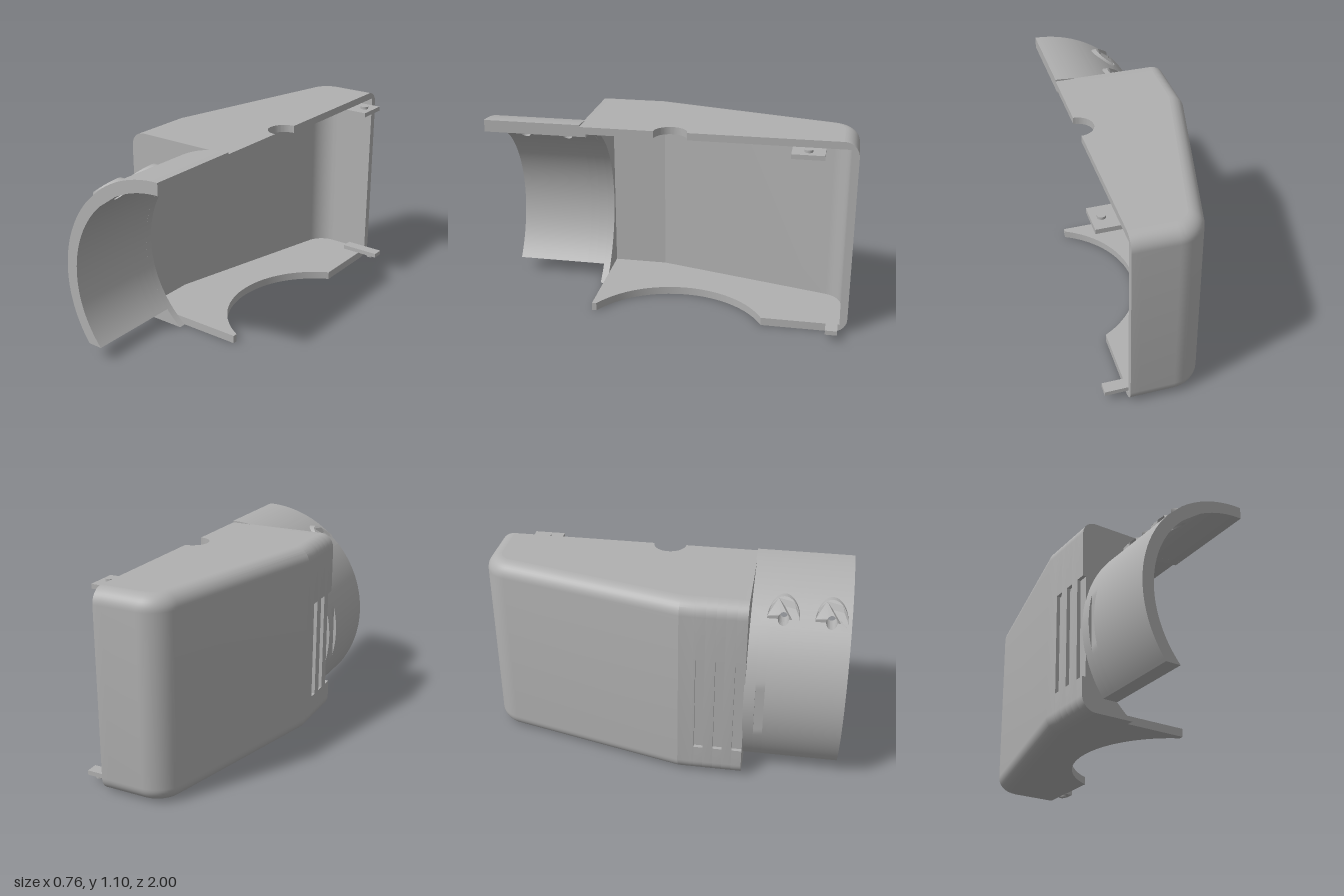
import * as THREE from 'three';
import { toCreasedNormals } from 'three/addons/utils/BufferGeometryUtils.js';

const V = (x, y) => new THREE.Vector2(x, y);
const CX = 0.257, CY = 0.46, RO = 0.64, RI = 0.575;  // collar axis and radii
const H = 1.09, FILLET = 0.08, WALL = 0.04, FLOOR = 0.045, CEIL = 1.05;
const SIDE = -0.385, BACK = -1, FRONT = 0.475;

// Circle arc around the collar axis between two heights
function arc(R, y0, y1, n = 48) {
  const ang = y => Math.asin(Math.min(1, (y - CY) / R));
  const a0 = ang(y0), a1 = ang(y1);
  return Array.from({ length: n + 1 }, (_, i) => {
    const a = a0 + (a1 - a0) * i / n;
    return V(CX - R * Math.cos(a), CY + R * Math.sin(a));
  });
}

// Outer edge of the side wall as (inset, height), optionally with a vent groove
function outerEdge(groove) {
  const pts = [], n = 10;
  for (let i = 0; i <= n; i++) {
    const t = i / n * Math.PI / 2;
    pts.push(V(FILLET * (1 - Math.sin(t)), FILLET * (1 - Math.cos(t))));
  }
  const top = pts.map(p => V(p.x, H - p.y)).reverse();
  if (groove) pts.push(V(0, 0.18), V(0.02, 0.18), V(0.02, 0.75), V(0, 0.75));
  return [...pts, ...top];
}

// Closed C-shaped wall section
const section = groove => [...outerEdge(groove),
  V(FILLET, CEIL), V(WALL, CEIL), V(WALL, FLOOR), V(FILLET, FLOOR)];

// Plan path of the wall from back to front: points with inward offset directions
function planPath() {
  const path = [{ p: V(0.21, BACK), n: V(0, 1) }];
  const R = 0.165, end = Math.atan2(0.971, 0.239);
  for (let i = 0; i <= 14; i++) {
    const a = end * i / 14, n = V(Math.sin(a), Math.cos(a));
    path.push({ p: V(0.02 - R * n.x, BACK + R - R * n.y), n });
  }
  path.push({ p: V(SIDE, 0.12), n: V(1, 0.121) }, { p: V(SIDE, 0.2), n: V(1, 0) });
  return path;
}

// Sweep the wall section along the plan path
function sweepWall() {
  const path = planPath(), sec = section(false), m = sec.length;
  const pos = [], idx = [];
  path.forEach(({ p, n }) => sec.forEach(q => pos.push(p.x + n.x * q.x, q.y, p.y + n.y * q.x)));
  for (let i = 0; i < path.length - 1; i++) {
    for (let j = 0; j < m; j++) {
      const a = i * m + j, b = i * m + (j + 1) % m, c = a + m, d = b + m;
      idx.push(a, c, b, b, c, d);
    }
  }
  const g = new THREE.BufferGeometry();
  g.setAttribute('position', new THREE.Float32BufferAttribute(pos, 3));
  g.setIndex(idx);
  return g;
}

const extrude = (shape, depth) => new THREE.ExtrudeGeometry(
  Array.isArray(shape) ? new THREE.Shape(shape) : shape, { depth, bevelEnabled: false });

// Flat plate whose open edge has a round cutout
function plate(front, cx, cz, R, y, thickness) {
  const pts = planPath().map(({ p, n }) => V(p.x + n.x * FILLET, -(p.y + n.y * FILLET)));
  pts.push(V(SIDE + FILLET, -front), V(CX, -front));
  const t0 = Math.acos((cx - CX) / R);
  for (let i = 0; i <= 32; i++) {
    const t = t0 * (1 - i / 16);
    pts.push(V(cx - R * Math.cos(t), -(cz + R * Math.sin(t))));
  }
  pts.push(V(CX, -(BACK + FILLET)));
  return extrude(pts, thickness).rotateX(-Math.PI / 2).translate(0, y, 0);
}

// Extrude a (z, y) shape sideways, then set x of the inner and outer faces by height
function sideways(shape, innerX, outerX) {
  const g = extrude(shape, 1).rotateY(-Math.PI / 2), p = g.attributes.position;
  for (let i = 0; i < p.count; i++) {
    const y = p.getY(i);
    p.setX(i, p.getX(i) < -0.5 ? outerX(y) : innerX(y));
  }
  return g;
}

const circleX = R => y => CX - Math.sqrt(R * R - (y - CY) ** 2);
const screwHole = z => new THREE.Path().absarc(z, 0.927, 0.03, 0, Math.PI * 2, true);

export function createModel() {
  const model = new THREE.Group();
  const grey = new THREE.MeshStandardMaterial({ color: 0xb0b0b0 });
  grey.name = 'grey plastic';
  const add = (name, geo) => {
    const mesh = new THREE.Mesh(toCreasedNormals(geo, 0.2), grey);
    mesh.name = name;
    model.add(mesh);
  };

  // Housing shell
  add('housingWall', sweepWall());
  add('backWallEnd', extrude(section(false), CX - 0.21).rotateY(-Math.PI / 2).translate(CX, 0, BACK));
  add('topPlate', plate(0.45, CX, -0.02, 0.09, CEIL, H - CEIL));
  add('bottomPlate', plate(0.435, 0.498, -0.06, 0.528, 0, FLOOR));

  // Straight side wall, alternating plain strips and vent grooves
  const cuts = [0.2, 0.21, 0.26, 0.315, 0.365, 0.42, FRONT];
  for (let i = 0; i < cuts.length - 1; i++) {
    const groove = i % 2 === 1;
    add(groove ? 'ventGroove' : 'sideWallStrip',
      extrude(section(groove), cuts[i + 1] - cuts[i]).translate(SIDE, 0, cuts[i]));
  }

  // Front wall around the round opening
  const edge = outerEdge(true).map(p => V(SIDE + p.x, p.y)).reverse();
  add('frontWall', extrude([...arc(RI, 0, 2), V(CX, H), ...edge], 0.04).translate(0, 0, 0.435));

  // Collar: lower and upper arcs with a panel for the screw holes between them
  const ring = (y0, y1, minX = -1) => [
    ...arc(RO, y0, y1).map(p => V(Math.max(p.x, minX), p.y)), ...arc(RI, y0, y1).reverse()];
  const y0 = 0.89, y1 = 0.965;
  [[0.47, 0.53, -1], [0.53, 0.58, -0.365], [0.58, 1, -1]].forEach(([a, b, minX]) =>
    add('collarLower', extrude(ring(0.085, y0, minX), b - a).translate(0, 0, a)));
  add('collarUpper', extrude(ring(y1, 2), 0.53).translate(0, 0, 0.47));

  const screws = [0.645, 0.895];
  const panel = new THREE.Shape([V(0.47, y0), V(1, y0), V(1, y1), V(0.47, y1)]);
  screws.forEach(z => panel.holes.push(screwHole(z)));
  add('collarScrewPanel', sideways(panel, circleX(RI), circleX(RO)));

  // Half-round screw bosses with a sloped top
  screws.forEach(z => {
    const boss = new THREE.Shape();
    boss.moveTo(z - 0.085, 0.885);
    boss.lineTo(z + 0.085, 0.885);
    boss.absarc(z, 0.927, 0.085, 0, Math.PI, false);
    boss.holes.push(screwHole(z));
    add('screwBoss', sideways(boss, y => circleX(RO)(y) + 0.05,
      y => -0.185 + Math.max(0, (y - 0.945) * 1.3)));
  });

  // Locating tabs with pegs
  [[1.0375, -0.745, 0.17, 1.056], [0.0575, -0.917, 0.065, 0.038]].forEach(([y, z, depth, pegY]) => {
    add('locatingTab', new THREE.BoxGeometry(0.23, 0.025, depth).translate(0.265, y, z));
    add('locatingPeg', new THREE.CylinderGeometry(0.022, 0.022, 0.016, 32).translate(0.327, pegY, z));
  });
  return model;
}
